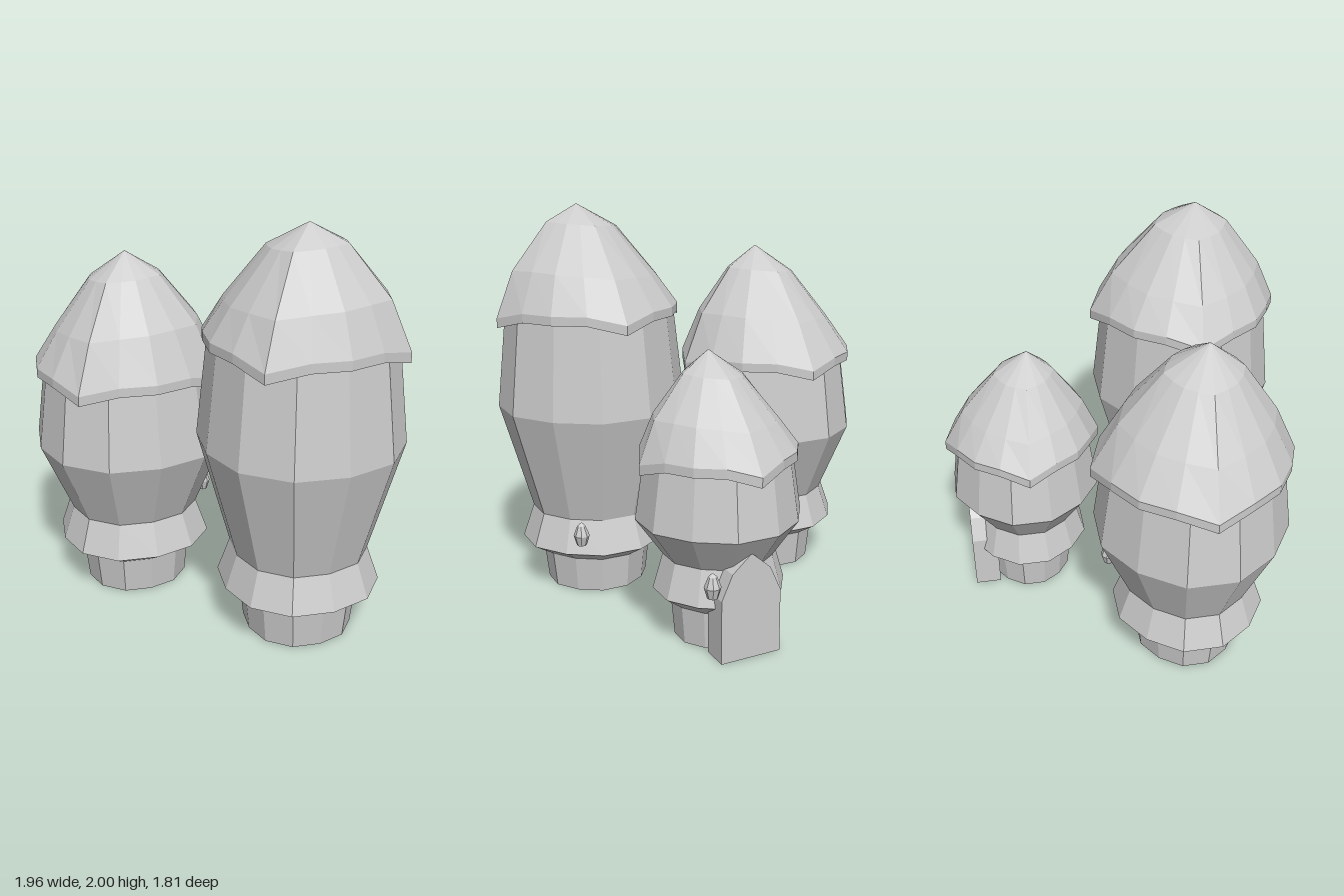
import * as THREE from 'three';

const stone = new THREE.MeshStandardMaterial({ color: 0xcccccc, flatShading: true, side: THREE.DoubleSide });
stone.name = 'pale grey';

function add(parent, name, geometry) {
  const mesh = new THREE.Mesh(geometry, stone);
  mesh.name = name;
  parent.add(mesh);
  return mesh;
}

// Turned shape with flat sides centred on the four compass directions
function turned(points, sides) {
  const profile = points.map(([r, y]) => new THREE.Vector2(r, y));
  return new THREE.LatheGeometry(profile, sides, Math.PI / sides);
}

// Twelve-sided wall, slightly pulled in on its diagonals and from front to back
function wallGeometry(points) {
  const geometry = turned(points, 12);
  const p = geometry.attributes.position;
  for (let i = 0; i < p.count; i++) {
    const x = p.getX(i), z = p.getZ(i);
    const diagonal = Math.abs(Math.abs(x) - Math.abs(z)) < 0.001;
    const k = diagonal ? 0.965 : 1;
    p.setXYZ(i, x * k, p.getY(i), z * k * 0.985);
  }
  return geometry;
}

// Leaning cap: rings of 16 points from apex to underside, ridged and drooping at four corners
function capGeometry({ scale, rim, apex, upper, middle, middleRadius, ridge }) {
  const N = 16;
  // corner radius, height, lean x, lean z, tilt, droop, ridge share
  const rings = [
    [0, apex, 0.038, 0.06, 0, 0, 0],
    [0.188, upper, 0.02, 0.035, 0.08, 0, 0.4],
    [middleRadius, middle, 0.01, 0.015, 0.07, 0.01, 0.7],
    [0.495, rim + 0.09, 0, 0, 0, 0.042, 1],
    [0.495, rim + 0.045, 0, 0, 0, 0.045, 1],
    [0.41, rim + 0.045, 0, 0, 0, 0, 0],
  ];
  const positions = [], index = [];
  rings.forEach(([r, y, lx, lz, tilt, droop, share], k) => {
    for (let i = 0; i < N; i++) {
      const a = (i / N) * Math.PI * 2;
      const corner = i % 4 === 0;
      const radius = scale * (corner ? r : r - share * ridge);
      const x = Math.sin(a) * radius, z = Math.cos(a) * radius;
      positions.push(x + lx * scale, y + tilt * x - (corner ? droop : 0), z + lz * scale);
      if (k === 0) continue;
      const j = (i + 1) % N, a0 = (k - 1) * N, b0 = k * N;
      if (k > 1) index.push(a0 + i, b0 + j, a0 + j);
      index.push(a0 + i, b0 + i, b0 + j);
    }
  });
  const geometry = new THREE.BufferGeometry();
  geometry.setAttribute('position', new THREE.Float32BufferAttribute(positions, 3));
  geometry.setIndex(index);
  geometry.computeVertexNormals();
  return geometry;
}

function makeTower(name, t) {
  const tower = new THREE.Group();
  tower.name = name;
  tower.position.set(t.x, 0, t.z);
  const s = t.scale;
  // Open foot, flared collar and bulging wall
  add(tower, 'towerBody', wallGeometry([
    [0.266 * s, 0], [0.286 * s, 0.185], [0.394 * s, 0.25],
    [0.334 * s, 0.42], [0.49 * s, t.belly], [0.437 * s, t.rim + 0.045],
  ]));
  add(tower, 'cap', capGeometry(t));
  return tower;
}

// Pointed porch: a front panel with walls running back, open below and behind
function makeDoorway() {
  const doorway = new THREE.Group();
  doorway.name = 'doorway';
  const outline = [
    [0.153, 0], [0.153, 0.31], [0.098, 0.43], [0, 0.515], [-0.098, 0.43], [-0.153, 0.31], [-0.153, 0],
  ];
  const panel = new THREE.Shape(outline.map(([x, y]) => new THREE.Vector2(x, y)));
  add(doorway, 'doorPanel', new THREE.ShapeGeometry(panel)).rotation.y = Math.PI;

  const positions = [], index = [];
  outline.forEach(([x, y], i) => {
    positions.push(x, y, 0, x, y, 0.135);
    if (i > 0) {
      const a = 2 * (i - 1), b = 2 * i;
      index.push(a, b, a + 1, b, b + 1, a + 1);
    }
  });
  const walls = new THREE.BufferGeometry();
  walls.setAttribute('position', new THREE.Float32BufferAttribute(positions, 3));
  walls.setIndex(index);
  walls.computeVertexNormals();
  add(doorway, 'doorWalls', walls);
  return doorway;
}

export function createModel() {
  const model = new THREE.Group();
  model.name = 'mushroomTowers';

  model.add(makeTower('tallTower', {
    x: 0.481, z: 0.41, scale: 1, belly: 0.975, rim: 1.405,
    apex: 2, upper: 1.9, middle: 1.665, middleRadius: 0.39, ridge: 0.045,
  }));
  model.add(makeTower('middleTower', {
    x: -0.485, z: 0.264, scale: 1, belly: 0.78, rim: 1.112,
    apex: 1.76, upper: 1.635, middle: 1.4, middleRadius: 0.375, ridge: 0.035,
  }));
  model.add(makeTower('smallTower', {
    x: 0.204, z: -0.498, scale: 0.82, belly: 0.6, rim: 0.848,
    apex: 1.385, upper: 1.275, middle: 1.08, middleRadius: 0.385, ridge: 0.04,
  }));

  // Doorway at the back of the small tower
  const doorway = makeDoorway();
  doorway.position.set(0.205, 0, -0.82);
  model.add(doorway);

  // Small bud-shaped lanterns, one beside each tower
  const bud = turned([
    [0, 0.335], [0.025, 0.337], [0.04, 0.388], [0.036, 0.4], [0.02, 0.44], [0, 0.457],
  ], 8);
  for (const [x, z] of [[0.705, 0.03], [-0.25, -0.112], [0.4, -0.812]]) {
    add(model, 'lantern', bud).position.set(x, 0, z);
  }
  return model;
}
